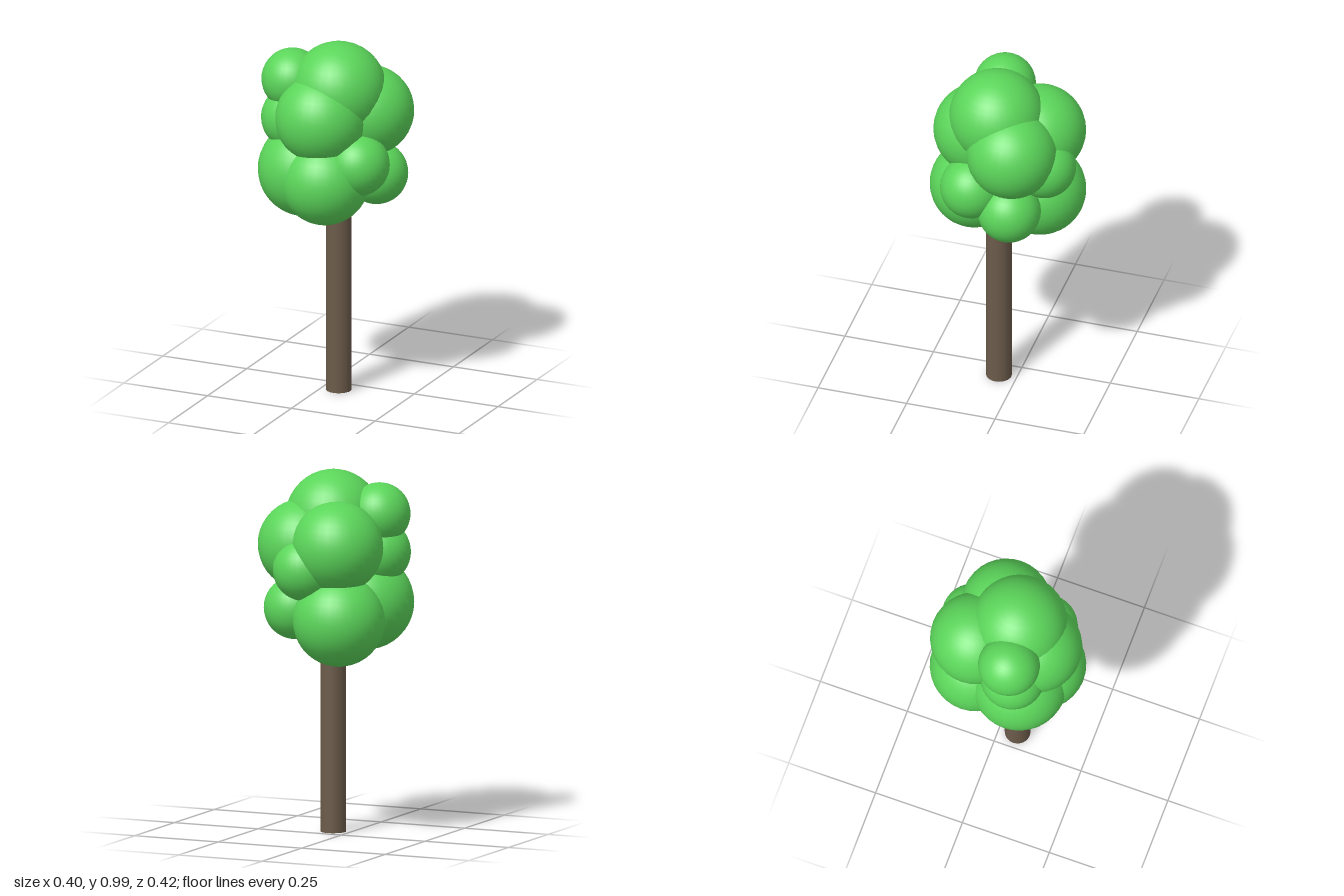
import * as THREE from 'three';

export function createModel() {
  const model = new THREE.Group();
  model.name = 'tree';

  const leafGreen = new THREE.MeshStandardMaterial({ color: 0x5bd55a });
  leafGreen.name = 'leaf green';
  const barkBrown = new THREE.MeshStandardMaterial({ color: 0x6b5b4a });
  barkBrown.name = 'bark brown';

  // Straight trunk, its top hidden inside the crown
  const trunk = new THREE.Mesh(new THREE.CylinderGeometry(0.035, 0.035, 0.7, 24), barkBrown);
  trunk.name = 'trunk';
  trunk.position.set(0.798, 0.35, 0.8);
  model.add(trunk);

  // Crown of overlapping leaf balls: x, y, z, radius
  const balls = [
    [0.8, 0.86, 0.805, 0.13],     // top
    [0.775, 0.79, 0.862, 0.125],  // front, upper
    [0.79, 0.617, 0.872, 0.121],  // front, lower
    [0.716, 0.63, 0.835, 0.13],   // right, lower
    [0.862, 0.79, 0.745, 0.123],  // left, upper
    [0.74, 0.795, 0.702, 0.125],  // back, upper
    [0.735, 0.595, 0.703, 0.125], // back, lower
    [0.88, 0.67, 0.852, 0.086],   // small ones filling the gaps
    [0.885, 0.615, 0.745, 0.086],
    [0.82, 0.735, 0.665, 0.086],
    [0.67, 0.876, 0.822, 0.084],
    [0.677, 0.77, 0.83, 0.088],
  ];
  const crown = new THREE.Group();
  crown.name = 'crown';
  const ballGeometry = new THREE.SphereGeometry(1, 32, 20);
  balls.forEach(([x, y, z, r], i) => {
    const ball = new THREE.Mesh(ballGeometry, leafGreen);
    ball.name = `leafBall${i + 1}`;
    ball.position.set(x, y, z);
    ball.scale.setScalar(r);
    crown.add(ball);
  });
  model.add(crown);

  return model;
}
